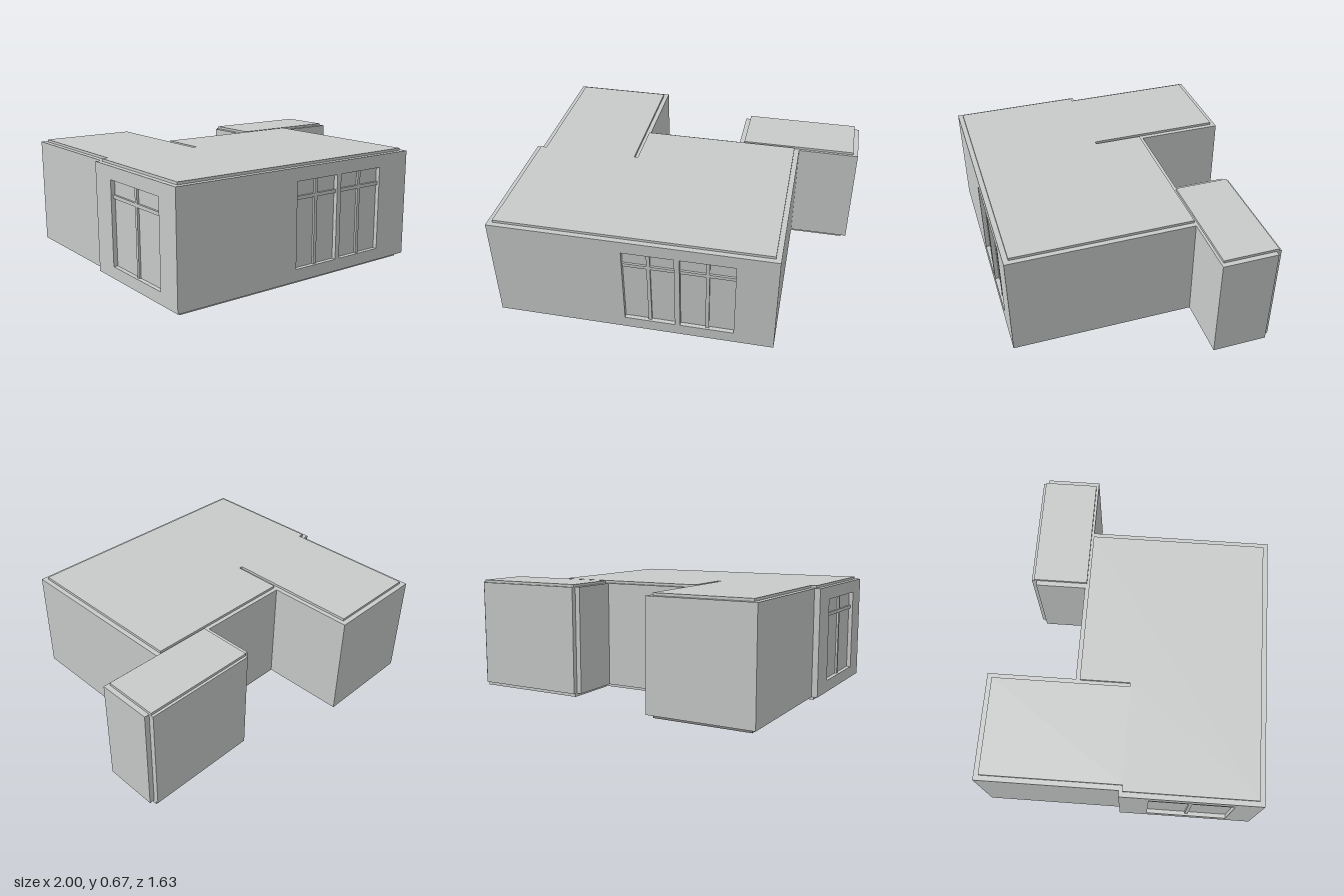
import * as THREE from 'three';

const FLOOR = 0.02, EAVE = 0.655, TOP = 0.67;
const WALL_H = EAVE - FLOOR;
const RECESS = 0.025;

export function createModel() {
  const house = new THREE.Group();
  house.name = 'house';

  const plaster = new THREE.MeshStandardMaterial({ color: 0xc9cbca });
  plaster.name = 'light grey plaster';
  const darkFloor = new THREE.MeshStandardMaterial({ color: 0x808180 });
  darkFloor.name = 'dark grey floor';

  const add = (geometry, name, material = plaster, parent = house) => {
    const mesh = new THREE.Mesh(geometry, material);
    mesh.name = name;
    parent.add(mesh);
    return mesh;
  };

  // Extrude a plan outline of [x, z] points between two heights
  const prism = (plan, y0, y1, name, material) => {
    const shape = new THREE.Shape(plan.map(([x, z]) => new THREE.Vector2(x, -z)));
    const g = new THREE.ExtrudeGeometry(shape, { depth: y1 - y0, bevelEnabled: false });
    g.rotateX(-Math.PI / 2).translate(0, y0, 0);
    return add(g, name, material);
  };
  const rect = (x0, x1, z0, z1) => [[x0, z0], [x1, z0], [x1, z1], [x0, z1]];

  // Main house and back wing, set back behind the two windowed walls
  prism([
    [-1 + RECESS, 0.815 - RECESS], [0.63, 0.815 - RECESS], [0.63, -0.275],
    [0.25, -0.275], [0.25, -0.3], [-0.335, -0.3], [-0.335, -0.82],
    [-0.965, -0.82], [-0.965, 0], [-1 + RECESS, 0],
  ], FLOOR, EAVE, 'houseWalls');

  // Annex with notched back corners
  prism([
    [0.25, -0.275], [0.995, -0.275], [0.995, -0.6], [0.965, -0.6],
    [0.965, -0.63], [0.28, -0.63], [0.28, -0.6], [0.25, -0.6],
  ], FLOOR, EAVE, 'annexWalls');

  // Floor and roof slabs, inset from the wall faces
  const mainPlan = [
    [-0.97, 0.785], [0.6, 0.785], [0.6, -0.275], [-0.34, -0.275],
    [-0.34, 0.02], [-0.97, 0.02],
  ];
  const wingPlan = rect(-0.935, -0.363, -0.79, 0.02);
  const annexPlan = rect(0.28, 0.965, -0.615, -0.29);
  const slabs = [['main', mainPlan, plaster], ['wing', wingPlan, darkFloor], ['annex', annexPlan, plaster]];
  for (const [name, plan, floorMaterial] of slabs) {
    prism(plan, 0, FLOOR, name + 'Floor', floorMaterial);
    prism(plan, EAVE, TOP, name + 'Roof');
  }

  // Wall panel with window openings, each divided by a mullion and a transom
  const windowWall = (width, windows, name) => {
    const wall = new THREE.Group();
    wall.name = name;
    house.add(wall);
    const outline = (x0, y0, x1, y1, Type) => new Type([
      new THREE.Vector2(x0, y0), new THREE.Vector2(x1, y0),
      new THREE.Vector2(x1, y1), new THREE.Vector2(x0, y1),
    ]);
    const shape = outline(0, 0, width, WALL_H, THREE.Shape);
    const y0 = 0.07, y1 = 0.56, transomY = 0.465, bar = 0.02, depth = 0.012;
    for (const [x0, x1] of windows) {
      shape.holes.push(outline(x0, y0, x1, y1, THREE.Path));
      const mullion = add(new THREE.BoxGeometry(bar, y1 - y0, depth), 'mullion', plaster, wall);
      mullion.position.set((x0 + x1) / 2, (y0 + y1) / 2, depth / 2);
      const transom = add(new THREE.BoxGeometry(x1 - x0, bar, depth), 'transom', plaster, wall);
      transom.position.set((x0 + x1) / 2, transomY, depth / 2);
    }
    add(new THREE.ExtrudeGeometry(shape, { depth: RECESS, bevelEnabled: false }), 'wallPanel', plaster, wall);
    return wall;
  };

  const front = windowWall(1.63, [[0.765, 1.06], [1.09, 1.4]], 'frontWindowWall');
  front.position.set(-1, FLOOR, 0.815 - RECESS);

  const side = windowWall(0.815 - RECESS, [[0.17, 0.66]], 'sideWindowWall');
  side.rotation.y = -Math.PI / 2;
  side.position.set(-1 + RECESS, FLOOR, 0);

  return house;
}
